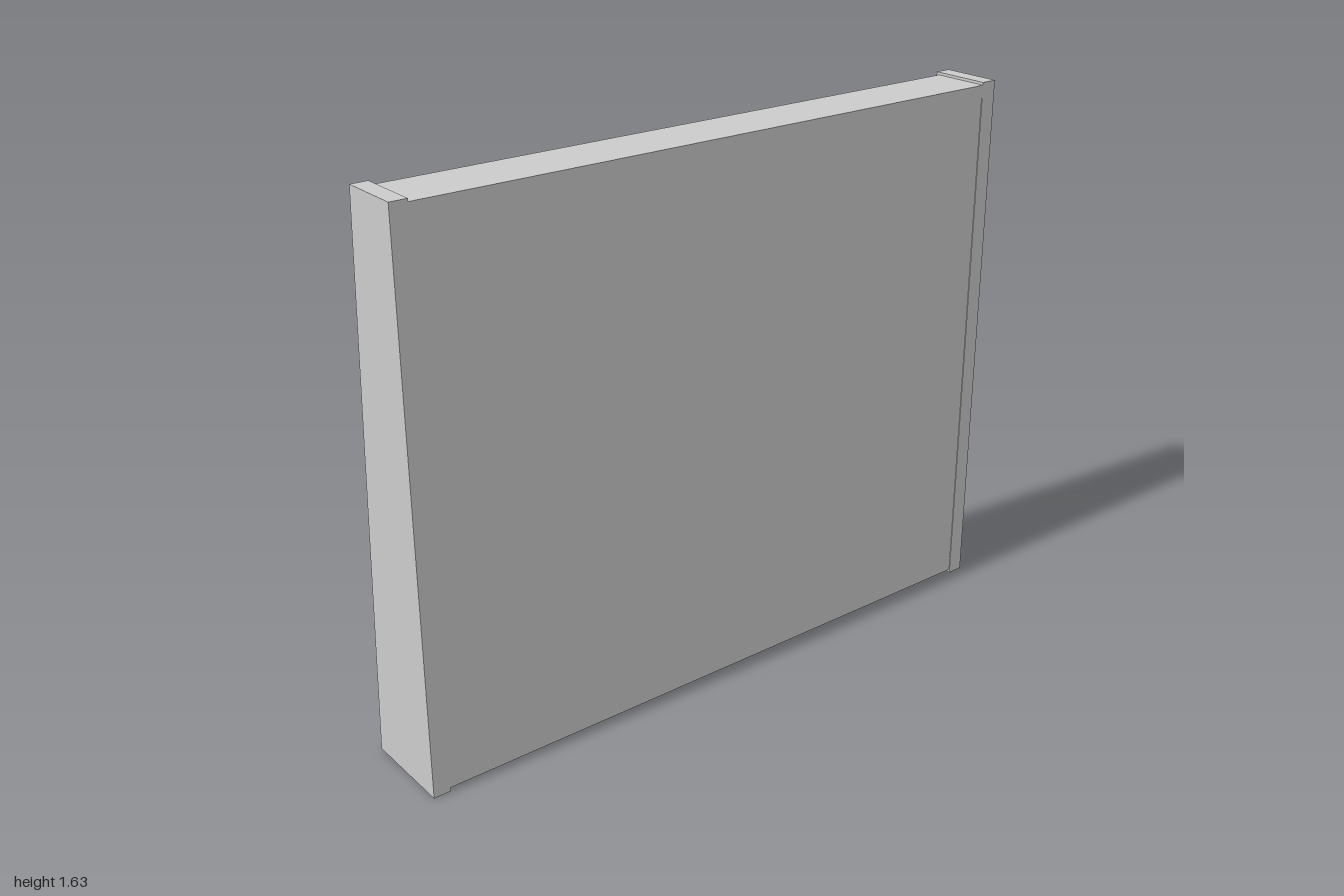
import * as THREE from 'three';

const H = 1.63, HALF = 0.143, SIDE = 0.05, INNER = 1.9;
const material = new THREE.MeshStandardMaterial({ color: 0xcccccc, flatShading: true });

// x of the leaning front edge at height y
const frontX = (y) => -HALF + (0.1 * y) / H;

// Extrude an x-y outline along z, centred on the given z
function slab(name, points, depth, z = 0) {
  const shape = new THREE.Shape(points.map(([x, y]) => new THREE.Vector2(x, y)));
  const geometry = new THREE.ExtrudeGeometry(shape, { depth, bevelEnabled: false });
  geometry.translate(0, 0, z - depth / 2);
  const mesh = new THREE.Mesh(geometry, material);
  mesh.name = name;
  return mesh;
}

// Board whose front edge follows the lean, set back by inset
const board = (name, y0, y1, inset, back) => slab(name, [
  [frontX(y0) + inset, y0], [back, y0], [back, y1], [frontX(y1) + inset, y1],
], INNER);

export function createModel() {
  const group = new THREE.Group();
  group.name = 'leaningShelfUnit';

  // Tapered side panels
  for (const s of [1, -1]) {
    group.add(slab(s > 0 ? 'sidePanelFront' : 'sidePanelRear', [
      [-HALF, 0], [HALF, 0], [HALF, H], [frontX(H), H],
    ], SIDE, s * (1 - SIDE / 2)));
  }

  // Wedge-shaped back, sloping parallel to the front edges
  group.add(board('backPanel', 0.01, 1.585, 0.135, HALF - 0.002));

  // Top board, just below the tops of the sides
  group.add(board('topBoard', 1.585, 1.622, 0.01, HALF));

  // Four evenly spaced shelves meeting the sloping back
  for (let i = 0; i < 4; i++) {
    const y = 0.19 + 0.36 * i;
    group.add(board(`shelf${i + 1}`, y, y + 0.03, 0.016, frontX(y) + 0.145));
  }
  return group;
}
